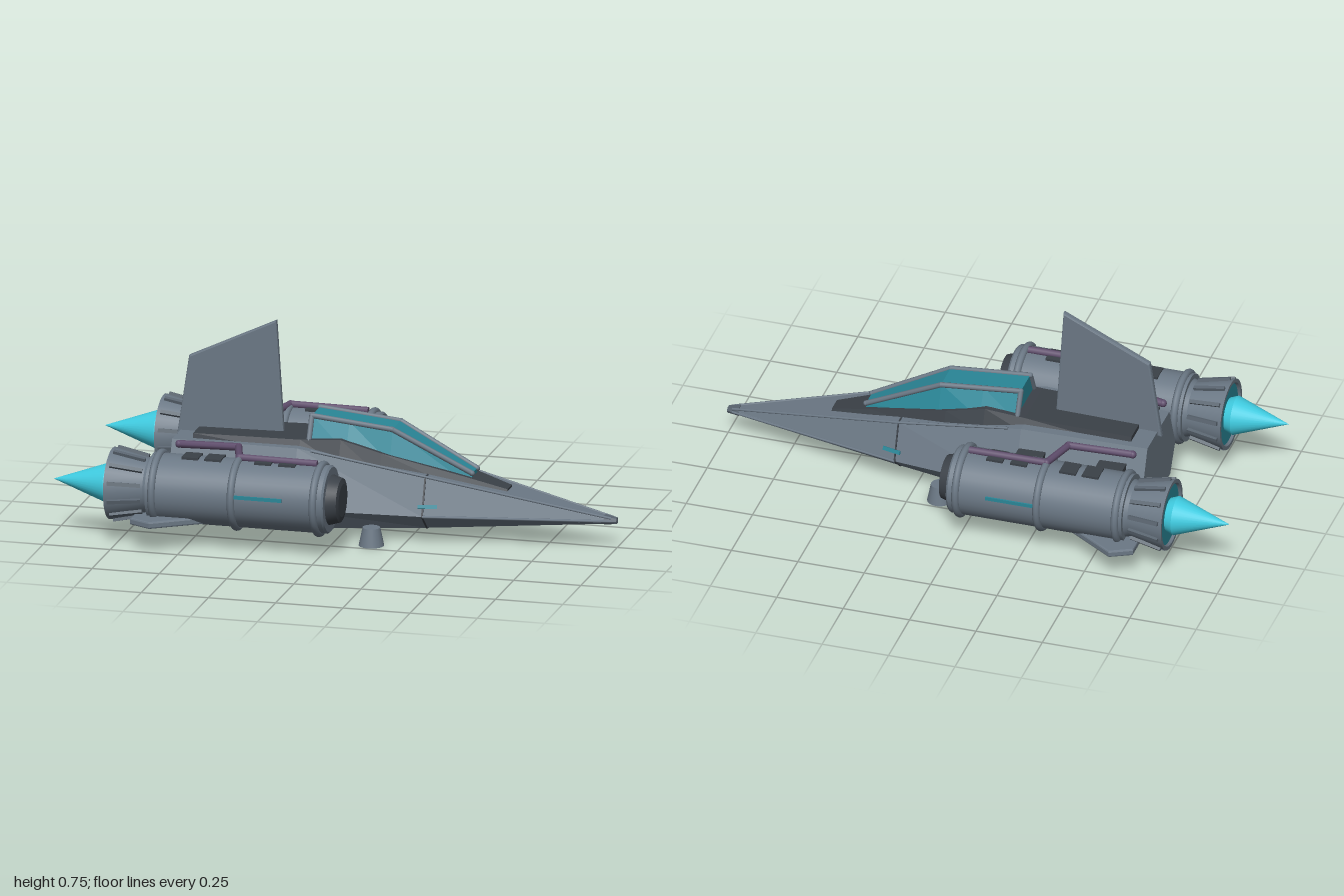
import * as THREE from 'three';
import { toCreasedNormals } from 'three/addons/utils/BufferGeometryUtils.js';

const mat = (name, color, side = THREE.FrontSide) => {
  const m = new THREE.MeshStandardMaterial({ color, side });
  m.name = name;
  return m;
};

export function createModel() {
  const hullGrey = mat('hullGrey', 0x6b7885);
  const trimGrey = mat('trimGrey', 0x5a6570);
  const darkGrey = mat('darkGrey', 0x3b4148);
  const glassTeal = mat('glassTeal', 0x2a8798);
  const glowCyan = mat('glowCyan', 0x3fcbe0);
  const pipePurple = mat('pipePurple', 0x5f4d6c);

  const model = new THREE.Group();
  model.name = 'spaceFighter';
  const add = (name, geo, material, parent = model) => {
    const m = new THREE.Mesh(geo, material);
    m.name = name;
    parent.add(m);
    return m;
  };
  const V = (x, y, z) => new THREE.Vector3(x, y, z);

  // Faceted skin through rings of [y, z] points placed along x, capped at both ends
  const loft = (sections) => {
    const pos = [];
    const rings = sections.map(([x, ring]) => ring.map(([y, z]) => [x, y, z]));
    const n = rings[0].length;
    for (let i = 0; i < rings.length - 1; i++)
      for (let j = 0; j < n; j++) {
        const k = (j + 1) % n;
        const a = rings[i][j], b = rings[i][k], c = rings[i + 1][k], d = rings[i + 1][j];
        pos.push(...a, ...b, ...c, ...a, ...c, ...d);
      }
    const first = rings[0], last = rings[rings.length - 1];
    for (let j = 1; j < n - 1; j++) {
      pos.push(...first[0], ...first[j + 1], ...first[j]);
      pos.push(...last[0], ...last[j], ...last[j + 1]);
    }
    const g = new THREE.BufferGeometry();
    g.setAttribute('position', new THREE.Float32BufferAttribute(pos, 3));
    g.computeVertexNormals();
    return g;
  };
  const hex = (x, ty, tw, my, mw, by, bw) =>
    [x, [[ty, -tw], [ty, tw], [my, mw], [by, bw], [by, -bw], [my, -mw]]];
  const quad = (x, by, bw, ty, tw) => [x, [[ty, -tw], [ty, tw], [by, bw], [by, -bw]]];

  // Round bar between two points
  const bar = (name, a, b, r, material, parent = model) => {
    const m = add(name, new THREE.CylinderGeometry(r, r, a.distanceTo(b), 8), material, parent);
    m.position.copy(a).add(b).multiplyScalar(0.5);
    m.quaternion.setFromUnitVectors(V(0, 1, 0), b.clone().sub(a).normalize());
    return m;
  };
  // Flat plate with a softened edge, drawn in the xy plane and centred on z
  const plate = (pts, t, bevel) => {
    const g = new THREE.ExtrudeGeometry(new THREE.Shape(pts.map((p) => new THREE.Vector2(...p))), {
      depth: t - 2 * bevel, bevelThickness: bevel, bevelSize: bevel, bevelOffset: -bevel, bevelSegments: 2,
    });
    return g.translate(0, 0, -t / 2 + bevel);
  };

  // Fuselage
  add('fuselage', loft([
    hex(-0.62, 0.32, 0.13, 0.15, 0.2, 0.05, 0.14),
    hex(-0.15, 0.325, 0.15, 0.12, 0.235, 0.03, 0.165),
    hex(0.32, 0.246, 0.122, 0.11, 0.17, 0.05, 0.1),
    hex(1, 0.106, 0.008, 0.1, 0.012, 0.092, 0.008),
  ]), hullGrey);
  add('panelSeam', loft([
    hex(0.317, 0.248, 0.125, 0.11, 0.174, 0.048, 0.102),
    hex(0.323, 0.247, 0.124, 0.11, 0.173, 0.048, 0.101),
  ]), darkGrey);
  add('noseTip', loft([
    hex(0.955, 0.119, 0.018, 0.1, 0.025, 0.088, 0.016),
    hex(1, 0.11, 0.01, 0.1, 0.014, 0.09, 0.01),
  ]), trimGrey);

  // Dark spine that carries the cockpit and the tail
  add('spineDeck', loft([
    quad(-0.55, 0.3, 0.11, 0.338, 0.1),
    quad(-0.15, 0.3, 0.13, 0.345, 0.105),
    quad(0, 0.27, 0.138, 0.355, 0.105),
    quad(0.15, 0.24, 0.126, 0.315, 0.1),
    quad(0.45, 0.19, 0.075, 0.238, 0.055),
    quad(0.6, 0.16, 0.045, 0.196, 0.03),
  ]), darkGrey);

  // Canopy glass and its frame
  add('canopyGlass', loft([
    quad(-0.12, 0.32, 0.1, 0.425, 0.052),
    quad(0.02, 0.31, 0.108, 0.412, 0.056),
    quad(0.18, 0.28, 0.096, 0.396, 0.055),
    quad(0.47, 0.2, 0.045, 0.247, 0.034),
  ]), glassTeal);
  const frame = new THREE.Group();
  frame.name = 'canopyFrame';
  model.add(frame);
  for (const s of [1, -1]) {
    const rear = V(-0.12, 0.424, s * 0.056), mid = V(0.18, 0.395, s * 0.058), front = V(0.47, 0.247, s * 0.035);
    bar('topRail', rear, mid, 0.01, hullGrey, frame);
    bar('frontRail', mid, front, 0.01, hullGrey, frame);
    bar('rearPost', rear, V(-0.12, 0.34, s * 0.098), 0.01, hullGrey, frame);
    for (const p of [rear, mid, front])
      add('railJoint', new THREE.SphereGeometry(0.0105, 8, 6), hullGrey, frame).position.copy(p);
  }

  // Tail fin
  add('tailFin', plate([[-0.635, 0.3], [-0.235, 0.3], [-0.265, 0.755], [-0.59, 0.6]], 0.024, 0.006), hullGrey);

  // Everything that appears once on each side
  for (const s of [1, -1]) {
    const side = s > 0 ? 'right' : 'left';

    // Hull edge trims
    bar('upperTrim', V(-0.1, 0.318, s * 0.147), V(0.32, 0.246, s * 0.122), 0.005, hullGrey);
    bar('noseTrim', V(0.32, 0.246, s * 0.122), V(0.98, 0.11, s * 0.012), 0.005, hullGrey);
    bar('lowerTrim', V(0.32, 0.11, s * 0.17), V(0.98, 0.1, s * 0.016), 0.005, hullGrey);

    // Small hull light lying on the sloping side
    const light = add('hullLight', new THREE.BoxGeometry(0.07, 0.014, 0.009), glassTeal);
    light.position.set(0.335, 0.145, s * 0.155);
    light.rotation.set(-s * 0.34, s * 0.23, 0, 'YXZ');

    // Landing foot
    add('landingFoot', new THREE.CylinderGeometry(0.032, 0.046, 0.067, 20), hullGrey)
      .position.set(0.14, 0.0335, s * 0.2);

    // Engine pod, built around its own axis
    const pod = new THREE.Group();
    pod.name = side + 'Engine';
    pod.position.set(0, 0.205, s * 0.352);
    model.add(pod);
    const turned = (name, pts, material) => {
      const g = new THREE.LatheGeometry(pts.map((p) => new THREE.Vector2(...p)), 32);
      return add(name, toCreasedNormals(g.rotateZ(-Math.PI / 2), 0.5), material, pod);
    };
    turned('engineBody', [[0, -0.63], [0.124, -0.63], [0.124, 0.025], [0.118, 0.032], [0, 0.032]], hullGrey);
    turned('intake', [[0.092, 0.03], [0.08, 0.07], [0.06, 0.075]], darkGrey);
    turned('intakeFace', [[0.06, 0.075], [0, 0.075]], trimGrey).material = darkGrey;
    for (const x of [-0.605, -0.31, -0.005])
      add('engineBand', new THREE.TorusGeometry(0.124, 0.014, 10, 36).rotateY(Math.PI / 2), hullGrey, pod)
        .position.x = x;

    // Flared nozzle with ribs, and the exhaust
    turned('nozzle', [[0.08, -0.68], [0.117, -0.782], [0.131, -0.782], [0.1, -0.645], [0.11, -0.62]], hullGrey);
    for (let i = 0; i < 12; i++) {
      const arm = new THREE.Group();
      arm.name = 'nozzleRib';
      arm.rotation.x = (i + 0.5) * Math.PI / 6;
      pod.add(arm);
      const rib = add('rib', new THREE.BoxGeometry(0.12, 0.012, 0.014), trimGrey, arm);
      rib.position.set(-0.71, 0.12, 0);
      rib.rotation.z = -0.2;
    }
    turned('exhaustDisc', [[0, -0.772], [0.116, -0.772], [0.1, -0.74]], glassTeal);
    turned('exhaustFlame', [[0, -1], [0.072, -0.8], [0.06, -0.77]], glowCyan);

    // Dark vents on top and a light strip along the outside
    for (const x of [-0.485, -0.4, -0.215, -0.125])
      add('engineVent', new THREE.BoxGeometry(0.062, 0.014, 0.07), darkGrey, pod).position.set(x, 0.12, 0);
    add('engineLight', new THREE.BoxGeometry(0.18, 0.013, 0.009), glassTeal, pod).position.set(-0.21, 0.018, s * 0.123);

    // Stub wing below the pod
    const wing = plate([[-0.68, 0.36], [-0.68, 0.49], [-0.6, 0.53], [-0.42, 0.41], [-0.42, 0.36]]
      .map(([x, z]) => [x, s * z]), 0.026, 0.006);
    add('stubWing', wing.rotateX(Math.PI / 2), hullGrey).position.y = 0.108;

    // Mounts joining the pod to the hull
    for (const x of [-0.5, -0.2])
      add('engineMount', new THREE.BoxGeometry(0.1, 0.05, 0.12), darkGrey).position.set(x, 0.235, s * 0.2);

    // Coolant pipe from the pod to the hull
    const bends = [V(-0.02, 0.334, s * 0.352), V(-0.31, 0.336, s * 0.352), V(-0.35, 0.334, s * 0.215), V(-0.58, 0.318, s * 0.18)];
    for (let i = 0; i < 3; i++) {
      bar('coolantPipe', bends[i], bends[i + 1], 0.014, pipePurple);
      add('pipeJoint', new THREE.SphereGeometry(0.0145, 10, 8), pipePurple).position.copy(bends[i + 1]);
    }
  }
  return model;
}
